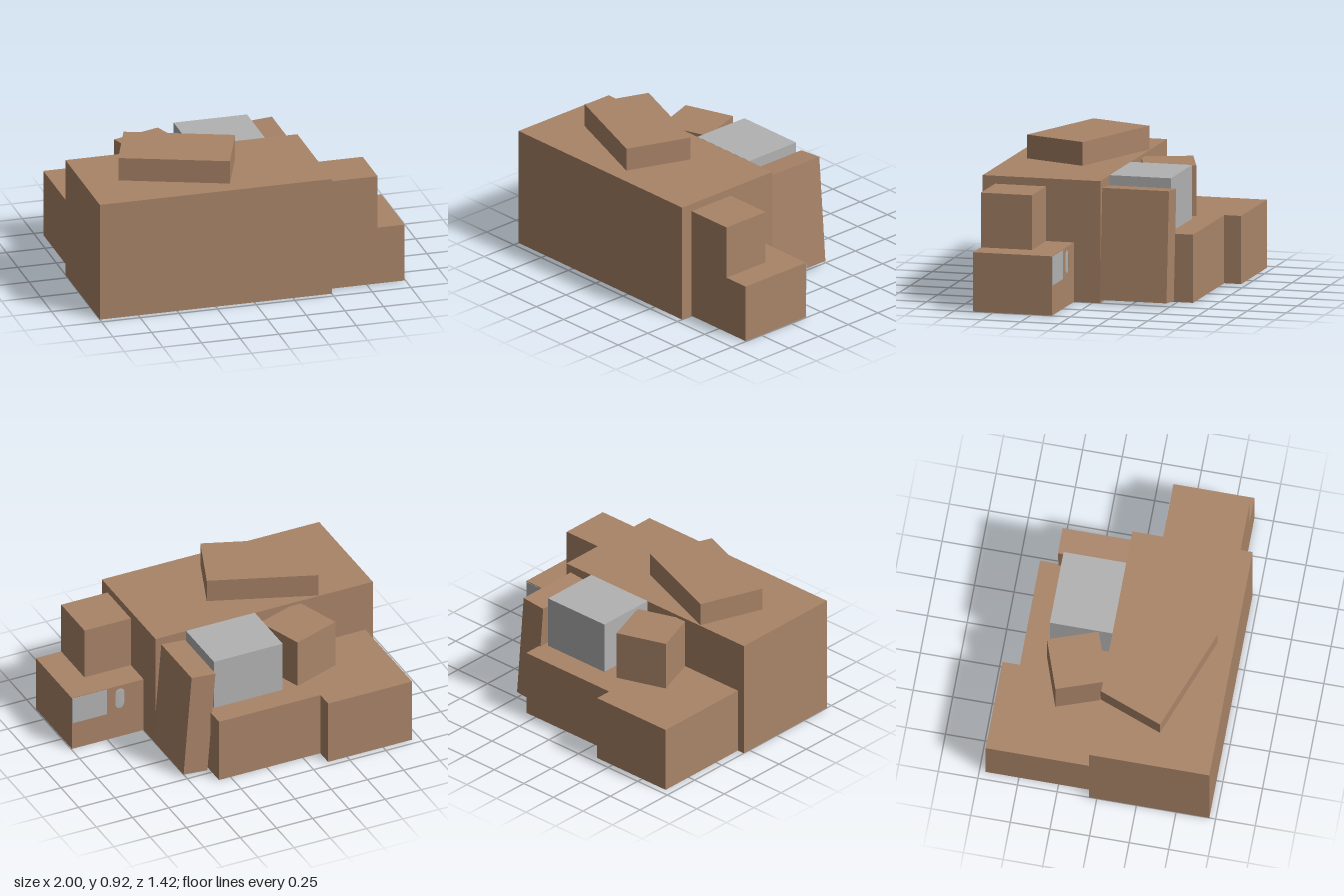
import * as THREE from 'three';

const brown = new THREE.MeshStandardMaterial({ color: 0xa98468, side: THREE.DoubleSide });
brown.name = 'cardboard brown';
const grey = new THREE.MeshStandardMaterial({ color: 0xb2b2b2, side: THREE.DoubleSide });
grey.name = 'plain grey';

export function createModel() {
  const model = new THREE.Group();
  model.name = 'boxPile';

  function add(parent, name, geometry, material = brown) {
    const mesh = new THREE.Mesh(geometry, material);
    mesh.name = name;
    parent.add(mesh);
    return mesh;
  }

  function group(name) {
    const g = new THREE.Group();
    g.name = name;
    model.add(g);
    return g;
  }

  // Upright walls along a path of [x, z] points, facing outward
  function walls(parent, name, path, y0, y1) {
    const pos = [];
    for (let i = 0; i < path.length - 1; i++) {
      const [ax, az] = path[i], [bx, bz] = path[i + 1];
      pos.push(ax, y0, az, ax, y1, az, bx, y1, bz);
      pos.push(ax, y0, az, bx, y1, bz, bx, y0, bz);
    }
    const geo = new THREE.BufferGeometry();
    geo.setAttribute('position', new THREE.Float32BufferAttribute(pos, 3));
    geo.computeVertexNormals();
    return add(parent, name, geo);
  }

  // Flat top over an outline of [x, z] points
  function lid(parent, name, outline, y) {
    const shape = new THREE.Shape(outline.map(([x, z]) => new THREE.Vector2(x, -z)));
    const geo = new THREE.ShapeGeometry(shape).rotateX(-Math.PI / 2).translate(0, y, 0);
    return add(parent, name, geo);
  }

  function box(name, size, centre, material = brown) {
    const mesh = add(model, name, new THREE.BoxGeometry(...size), material);
    mesh.position.set(...centre);
    return mesh;
  }

  // Large front box, open underneath and where its neighbours join it
  const main = group('mainBox');
  walls(main, 'mainFrontWalls', [[0.5, 0.63], [0.5, 0.71], [-1, 0.71], [-1, -0.05], [-0.95, -0.05]], 0, 0.77);
  walls(main, 'mainBackCorner', [[0.33, -0.05], [0.5, -0.05], [0.5, 0.12]], 0, 0.77);
  walls(main, 'mainBackWall', [[-0.95, -0.05], [0.33, -0.05]], 0.43, 0.77);
  walls(main, 'mainSideAboveLowStep', [[0.5, 0.12], [0.5, 0.3]], 0.375, 0.77);
  walls(main, 'mainSideAboveHighStep', [[0.5, 0.3], [0.5, 0.63]], 0.72, 0.77);
  lid(main, 'mainTop', [[-1, 0.71], [0.5, 0.71], [0.5, -0.05], [-1, -0.05]], 0.77);

  // Low stepped box behind
  const back = group('backBox');
  const backOutline = [[-0.95, -0.05], [-0.95, -0.71], [-0.37, -0.71], [-0.37, -0.6], [0.33, -0.6], [0.33, -0.05]];
  walls(back, 'backWalls', backOutline, 0, 0.43);
  lid(back, 'backTop', backOutline, 0.43);

  // Two side steps, the higher one rising out of the lower
  const steps = group('sideSteps');
  walls(steps, 'lowStepWalls', [[0.5, 0.12], [0.995, 0.12], [0.995, 0.63], [0.5, 0.63]], 0, 0.375);
  lid(steps, 'lowStepTop', [[0.5, 0.12], [0.995, 0.12], [0.995, 0.63], [0.82, 0.63], [0.82, 0.3], [0.5, 0.3]], 0.375);
  const highOutline = [[0.5, 0.3], [0.82, 0.3], [0.82, 0.63], [0.5, 0.63]];
  walls(steps, 'highStepWalls', highOutline, 0.375, 0.72);
  lid(steps, 'highStepTop', highOutline, 0.72);

  // Grey patches on the rear of the low step
  box('stepPatch', [0.24, 0.18, 0.004], [0.873, 0.28, 0.119], grey);
  const spot = add(model, 'stepSpot', new THREE.CapsuleGeometry(0.033, 0.08, 4, 12), grey);
  spot.scale.z = 0.06;
  spot.position.set(0.665, 0.28, 0.119);

  // Loose boxes resting on top and behind
  box('topBox', [0.695, 0.15, 0.43], [-0.377, 0.845, 0.28]).rotation.y = -0.36;
  box('smallBackBox', [0.333, 0.32, 0.326], [-0.392, 0.59, -0.235]).rotation.y = 0.336;
  box('greyBox', [0.475, 0.34, 0.395], [0.052, 0.601, -0.247], grey);

  // Narrow box leaning against the back box
  box('leaningBox', [0.165, 0.7, 0.43], [0.407, 0.366, -0.267]).rotation.z = 0.08;

  return model;
}
